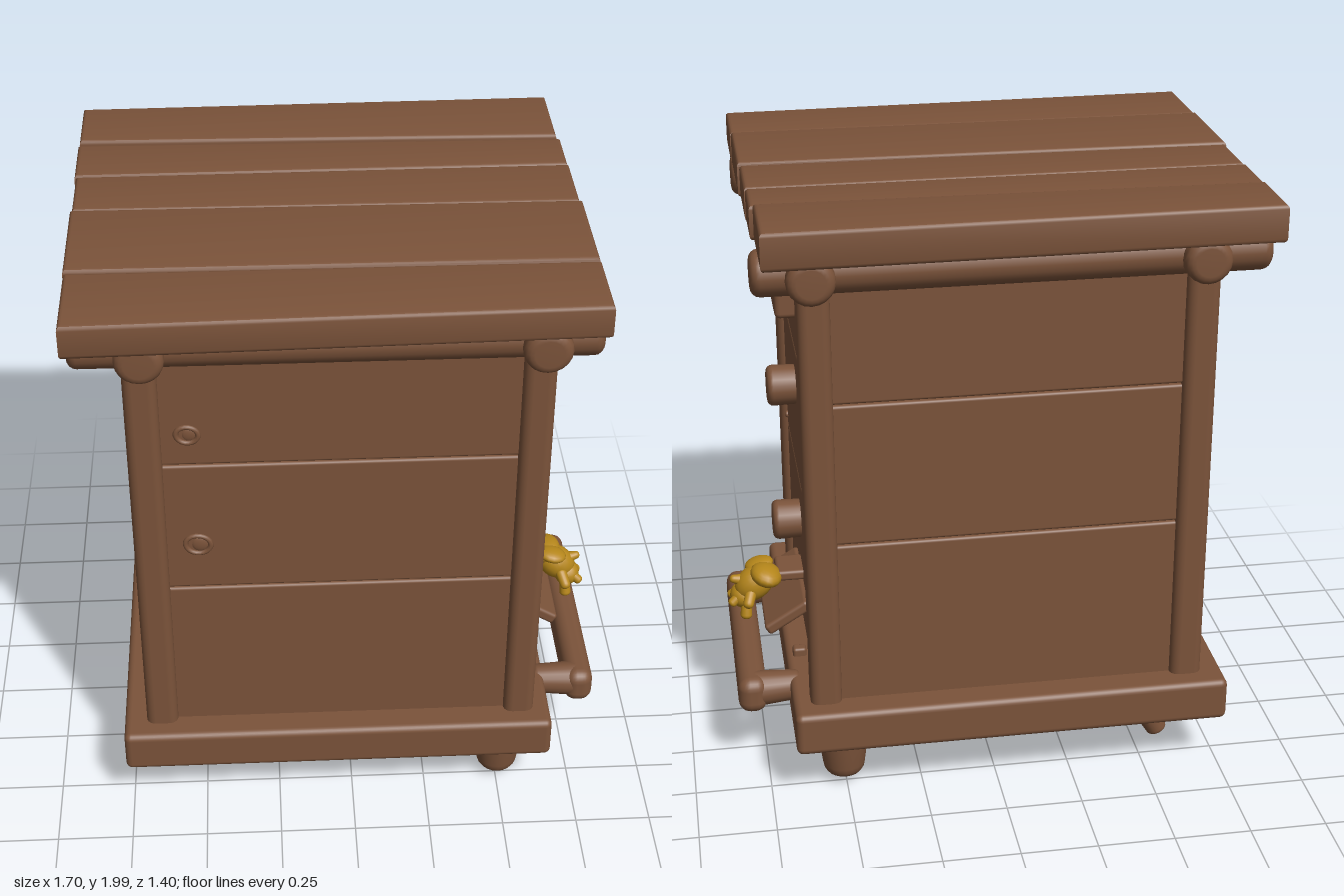
import * as THREE from 'three';
import { RoundedBoxGeometry } from 'three/addons/geometries/RoundedBoxGeometry.js';
import { toCreasedNormals } from 'three/addons/utils/BufferGeometryUtils.js';

export function createModel() {
  const model = new THREE.Group();
  model.name = 'beehive';
  const wood = new THREE.MeshStandardMaterial({ color: 0x7b533a });
  wood.name = 'brown wood';
  const gold = new THREE.MeshStandardMaterial({ color: 0xb5861a });
  gold.name = 'bee gold';

  const add = (name, geometry, material = wood, parent = model) => {
    const mesh = new THREE.Mesh(geometry, material);
    mesh.name = name;
    parent.add(mesh);
    return mesh;
  };

  // Rounded box given by its minimum and maximum corners
  const box = (name, [x0, y0, z0], [x1, y1, z1], radius = 0.015) => {
    const g = new RoundedBoxGeometry(x1 - x0, y1 - y0, z1 - z0, 3, radius);
    return add(name, g.translate((x0 + x1) / 2, (y0 + y1) / 2, (z0 + z1) / 2));
  };

  // Round log from a to b with softened ends and its own end radii
  const log = (name, a, b, ra, rb = ra, round = 0.02, material = wood, parent = model) => {
    const from = new THREE.Vector3(...a), to = new THREE.Vector3(...b);
    const length = from.distanceTo(to);
    const profile = [new THREE.Vector2(0, 0)];
    for (let i = 0; i <= 4; i++) {
      const t = (i / 4) * Math.PI / 2;
      profile.push(new THREE.Vector2(ra - round + round * Math.sin(t), round - round * Math.cos(t)));
    }
    for (let i = 0; i <= 4; i++) {
      const t = (i / 4) * Math.PI / 2;
      profile.push(new THREE.Vector2(rb - round + round * Math.cos(t), length - round + round * Math.sin(t)));
    }
    profile.push(new THREE.Vector2(0, length));
    const mesh = add(name, new THREE.LatheGeometry(profile, 20), material, parent);
    mesh.position.copy(from);
    mesh.quaternion.setFromUnitVectors(new THREE.Vector3(0, 1, 0), to.sub(from).normalize());
    return mesh;
  };

  // Roof planks: [left x, right x, back z at left, back z at right, front z at left, front z at right, top]
  const planks = [
    [-0.845, 0.72, -0.685, -0.705, -0.442, -0.415, 2.0],
    [-0.85, 0.732, -0.436, -0.409, -0.218, -0.228, 1.99],
    [-0.845, 0.735, -0.215, -0.225, 0.008, 0.02, 1.99],
    [-0.85, 0.742, 0.014, 0.026, 0.388, 0.392, 1.995],
    [-0.848, 0.745, 0.392, 0.396, 0.697, 0.66, 1.99],
  ];
  const bevel = 0.014;
  for (const [xl, xr, bl, br, fl, fr, top] of planks) {
    const outline = new THREE.Shape([
      new THREE.Vector2(xl, -fl), new THREE.Vector2(xr, -fr),
      new THREE.Vector2(xr, -br), new THREE.Vector2(xl, -bl),
    ]);
    const g = new THREE.ExtrudeGeometry(outline, {
      depth: top - 1.88 - 2 * bevel, bevelSize: bevel, bevelThickness: bevel,
      bevelOffset: -bevel, bevelSegments: 3,
    });
    g.rotateX(-Math.PI / 2).translate(0, 1.88 + bevel, 0);
    add('roofPlank', toCreasedNormals(g, 0.7));
  }
  box('roofUnderside', [-0.82, 1.885, -0.66], [0.7, 1.96, 0.64]);

  // Log frame under the roof
  for (const side of [-1, 1]) {
    log('roofLogLong', [-0.845, 1.815, side * 0.51], [0.745, 1.815, side * 0.51], 0.072, 0.072, 0.03);
  }
  for (const x of [-0.63, 0.57]) {
    log('roofLogCross', [x, 1.81, -0.63], [x, 1.81, 0.63], 0.075, 0.075, 0.03);
  }

  // Stacked box bodies with grooves between them
  const rows = [0.33, 0.9, 1.38, 1.86];
  for (let i = 0; i < 3; i++) {
    box('hiveBody', [-0.66, rows[i] + 0.002, -0.53], [0.588, rows[i + 1] - 0.002, 0.53], 0.01);
  }

  // Corner posts
  for (const z of [-0.505, 0.505]) {
    box('cornerPost', [-0.69, 0.3, z - 0.055], [-0.585, 1.82, z + 0.055], 0.03);
    box('cornerPost', [0.51, 0.3, z - 0.055], [0.612, 1.82, z + 0.055], 0.03);
  }

  // Base slab
  box('base', [-0.765, 0.195, -0.628], [0.668, 0.342, 0.625], 0.022);

  // Two stout legs and two splayed legs
  for (const side of [-1, 1]) {
    log('stoutLeg', [0.505, 0.03, side * 0.48], [0.505, 0.23, side * 0.48], 0.07, 0.085, 0.045);
    log('splayedLeg', [-0.595, 0.018, side * 0.385], [-0.49, 0.24, side * 0.37], 0.036, 0.066, 0.015);
  }

  // Side knobs
  for (const y of [1.24, 0.745]) log('knob', [0.57, y, 0], [0.682, y, 0], 0.066, 0.068, 0.02);

  // Top grip with its backing tab
  box('grip', [0.57, 1.515, -0.122], [0.652, 1.625, 0.117], 0.018);
  box('gripTab', [0.57, 1.6, -0.118], [0.607, 1.725, 0.09], 0.015);

  // Nail heads beside the entrance and drawer panels
  for (const [y, z, r] of [[0.48, 0.44, 0.02], [0.48, -0.41, 0.016], [0.945, 0.43, 0.012], [0.945, -0.415, 0.014]]) {
    log('nail', [0.57, y, z], [0.597, y, z], r, r, 0.005);
  }

  // Knot holes on the front panel
  for (const [x, y, r] of [[-0.505, 1.495, 0.034], [-0.488, 1.075, 0.04]]) {
    const rim = add('knotRim', new THREE.TorusGeometry(r, 0.009, 8, 20));
    rim.position.set(x, y, 0.53);
    rim.scale.y = 0.85;
    rim.rotation.z = -0.2;
    const core = add('knotCore', new THREE.SphereGeometry(r * 0.7, 14, 10));
    core.position.set(x + 0.007, y, 0.527);
    core.scale.z = 0.3;
  }

  // Entrance: slanted landing flap under a small lintel
  const flap = add('landingFlap', new RoundedBoxGeometry(0.17, 0.04, 0.415, 3, 0.012));
  flap.position.set(0.655, 0.475, -0.005);
  flap.rotation.z = -0.55;
  box('entranceLintel', [0.57, 0.535, -0.06], [0.68, 0.572, 0.07], 0.012);

  // Landing rail carried on two short arms
  const rail = box('landingRail', [0.745, 0.23, -0.41], [0.84, 0.355, 0.412], 0.04);
  rail.rotation.x = 0;
  for (const z of [-0.345, 0.35]) {
    log('railArm', [0.63, 0.3, z], [0.8, 0.295, z], 0.05, 0.06, 0.02);
  }
  for (const z of [0.22, -0.22]) box('railPeg', [0.6, 0.32, z - 0.02], [0.645, 0.37, z + 0.02], 0.01);

  // Bee
  const bee = new THREE.Group();
  bee.name = 'bee';
  model.add(bee);
  const blob = (name, [x, y, z], [sx, sy, sz], tilt = 0) => {
    const mesh = add(name, new THREE.SphereGeometry(1, 16, 12), gold, bee);
    mesh.position.set(x, y, z);
    mesh.scale.set(sx, sy, sz);
    mesh.rotation.z = tilt;
  };
  blob('beeBody', [0.755, 0.52, -0.02], [0.075, 0.058, 0.055], -0.7);
  blob('beeHead', [0.795, 0.475, -0.015], [0.045, 0.045, 0.05]);
  blob('beeTail', [0.715, 0.56, -0.045], [0.055, 0.036, 0.07], 0.3);
  blob('beeWing', [0.735, 0.575, 0.01], [0.05, 0.022, 0.045], -0.2);
  for (const side of [-1, 1]) {
    const z = -0.015;
    log('beeFrontLeg', [0.785, 0.47, z + side * 0.025], [0.79, 0.4, z + side * 0.04], 0.018, 0.02, 0.015, gold, bee);
    log('beeSideLeg', [0.765, 0.51, z + side * 0.03], [0.785, 0.465, z + side * 0.085], 0.02, 0.018, 0.015, gold, bee);
    log('beeFeeler', [0.8, 0.49, z + side * 0.02], [0.842, 0.455, z + side * 0.035], 0.016, 0.016, 0.012, gold, bee);
  }
  log('beeCrest', [0.78, 0.53, -0.02], [0.838, 0.545, -0.025], 0.022, 0.014, 0.012, gold, bee);

  return model;
}
